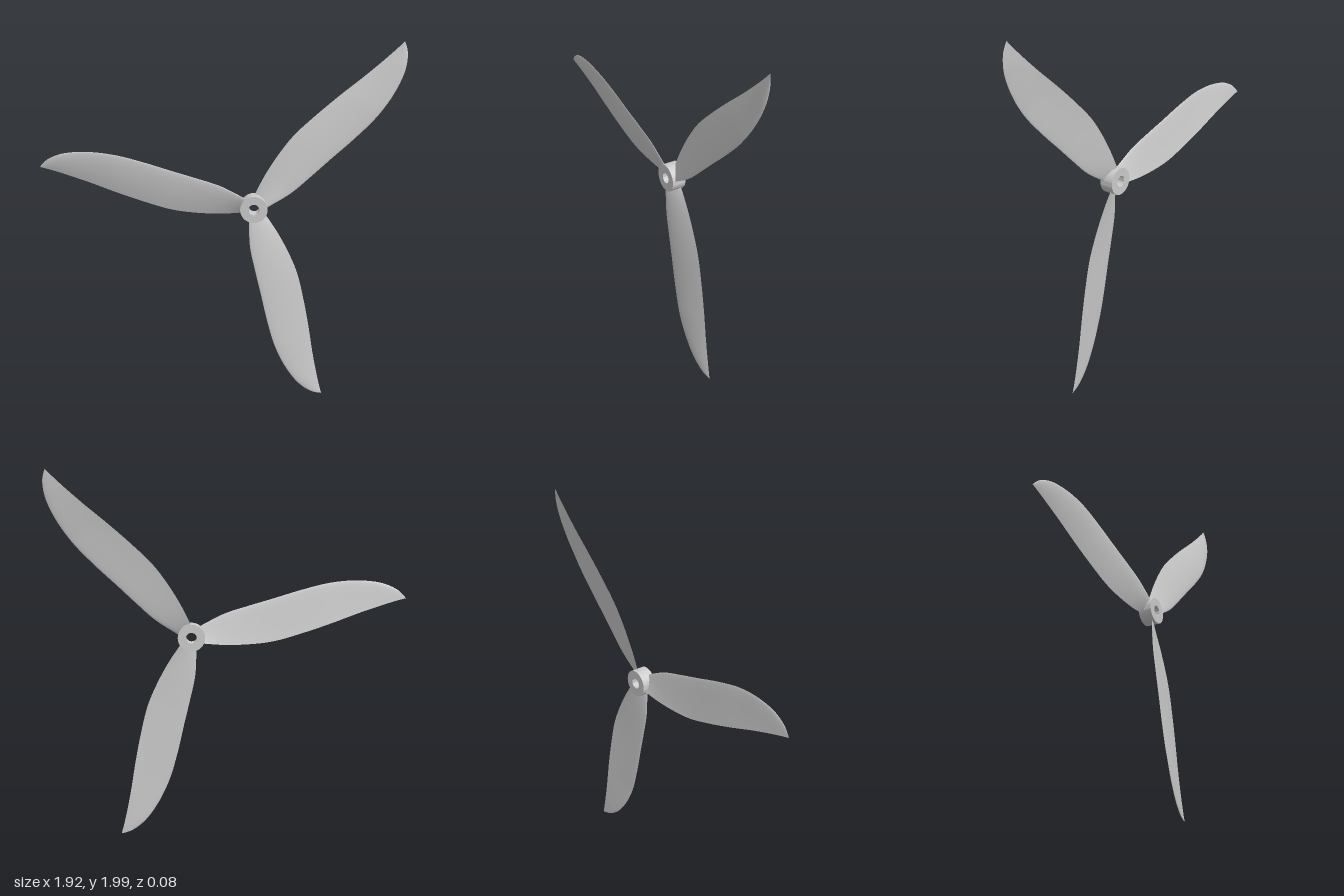
import * as THREE from 'three';
import { toCreasedNormals } from 'three/addons/utils/BufferGeometryUtils.js';

const HUB_RADIUS = 0.073, BORE_RADIUS = 0.029, HUB_DEPTH = 0.076;

// Blade stations: distance from the axis, leading edge, trailing edge
const STATIONS = [
  [0.045, 0.057, -0.031], [0.177, 0.124, -0.040], [0.31, 0.167, -0.037],
  [0.442, 0.206, -0.021], [0.6, 0.254, 0.024], [0.75, 0.290, 0.075],
  [0.897, 0.302, 0.130], [1.024, 0.288, 0.173], [1.103, 0.254, 0.197],
  [1.138, 0.222, 0.206], [1.148, 0.209, 0.2085],
];

// One skin of the blade (side = 1 front, -1 back), swept through the stations
function bladeSkin(curve, side, rows = 56, cols = 14) {
  const pos = [], index = [];
  for (let i = 0; i <= rows; i++) {
    const p = curve.getPoint(i / rows);
    const chord = Math.max(p.y - p.z, 0);
    const tip = p.x > 0.75 ? Math.min(1, chord / 0.21) : 1;
    const leadZ = -0.014 + 0.035 * tip;
    const trailZ = -0.014 - 0.005 * tip;
    const thick = Math.min(0.011, 0.1 * chord);
    for (let j = 0; j <= cols; j++) {
      const w = 0.5 - 0.5 * Math.cos(Math.PI * j / cols);
      const half = 1.3 * thick * Math.sqrt(w) * (1 - w);
      const camber = 0.016 * tip * w * (1 - w);
      pos.push(-p.x, p.y - chord * w, leadZ + (trailZ - leadZ) * w + camber + side * half);
    }
  }
  for (let i = 0; i < rows; i++) {
    for (let j = 0; j < cols; j++) {
      const a = i * (cols + 1) + j, b = a + cols + 1;
      if (side > 0) index.push(a, b, a + 1, b, b + 1, a + 1);
      else index.push(a, a + 1, b, b, a + 1, b + 1);
    }
  }
  const geo = new THREE.BufferGeometry();
  geo.setAttribute('position', new THREE.Float32BufferAttribute(pos, 3));
  geo.setIndex(index);
  geo.computeVertexNormals();
  return geo;
}

export function createModel() {
  const model = new THREE.Group();
  model.name = 'propeller';
  const material = new THREE.MeshStandardMaterial({ color: 0xcccccc });

  const rotor = new THREE.Group();
  rotor.name = 'rotor';
  rotor.position.set(0.185, 1.105, 0);
  model.add(rotor);

  // Hub: short cylinder with a through bore
  const ring = new THREE.Shape().absarc(0, 0, HUB_RADIUS, 0, Math.PI * 2);
  ring.holes.push(new THREE.Path().absarc(0, 0, BORE_RADIUS, 0, Math.PI * 2, true));
  const hubGeo = new THREE.ExtrudeGeometry(ring, { depth: HUB_DEPTH, bevelEnabled: false, curveSegments: 48 });
  hubGeo.translate(0, 0, -HUB_DEPTH / 2);
  const hub = new THREE.Mesh(toCreasedNormals(hubGeo, 0.6), material);
  hub.name = 'hub';
  rotor.add(hub);

  // Three swept, pitched blades
  const curve = new THREE.CatmullRomCurve3(STATIONS.map(s => new THREE.Vector3(...s)), false, 'centripetal');
  const front = bladeSkin(curve, 1), back = bladeSkin(curve, -1);
  for (let k = 0; k < 3; k++) {
    const blade = new THREE.Group();
    blade.name = `blade${k + 1}`;
    const frontMesh = new THREE.Mesh(front, material);
    frontMesh.name = 'bladeFront';
    const backMesh = new THREE.Mesh(back, material);
    backMesh.name = 'bladeBack';
    blade.add(frontMesh, backMesh);
    blade.rotation.z = -k * Math.PI * 2 / 3;
    rotor.add(blade);
  }
  return model;
}
